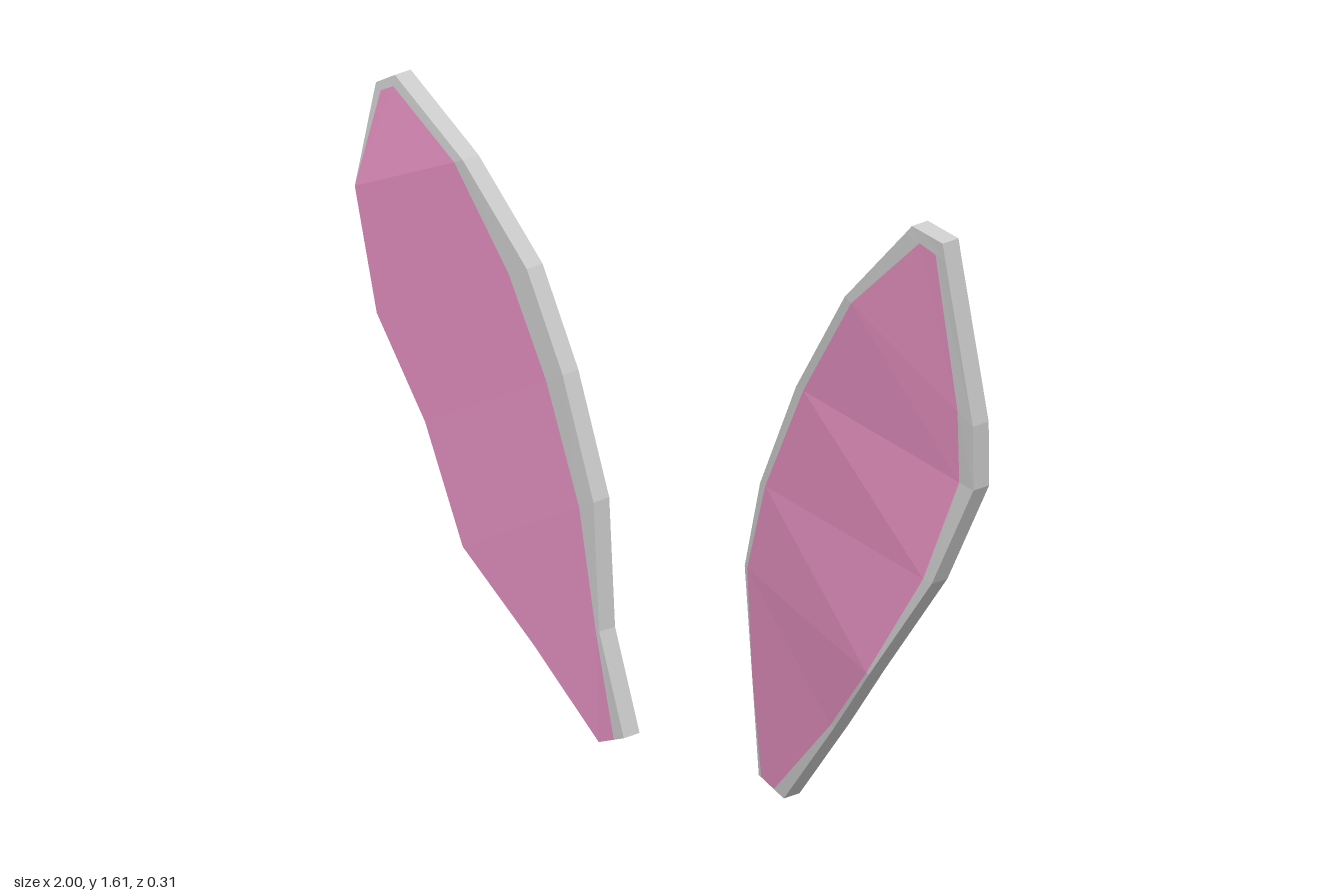
import * as THREE from 'three';

const grey = new THREE.MeshStandardMaterial({ color: 0xcccccc });
grey.name = 'outer fur grey';
const pink = new THREE.MeshStandardMaterial({ color: 0xe38fbf });
pink.name = 'inner ear pink';

const THICK = 0.06; // depth of the rim wall

// Rows run tip to base: inner edge, outer edge, back ridge, start and end of the pink (0 inner, 1 outer)
const rightRows = [
  [[-0.91, 1.61, 0], [-0.97, 1.58, 0], [-0.94, 1.595, -0.06], 0.5, 0.5],
  [[-0.885, 1.594, 0.004], [-0.973, 1.554, 0.005], [-0.93, 1.57, -0.062], 0.3, 0.75],
  [[-0.66, 1.45, 0.04], [-1.0, 1.32, 0.045], [-0.85, 1.36, -0.08], 0.08, 1],
  [[-0.46, 1.21, 0.035], [-0.93, 1.01, 0.045], [-0.71, 1.11, -0.135], 0.12, 1],
  [[-0.35, 0.96, 0.03], [-0.78, 0.76, 0.04], [-0.58, 0.87, -0.155], 0.12, 1],
  [[-0.26, 0.65, 0.02], [-0.66, 0.465, 0.04], [-0.47, 0.49, -0.105], 0.11, 1],
  [[-0.25, 0.32, 0.01], [-0.45, 0.25, 0.02], [-0.35, 0.27, -0.085], 0.05, 1],
  [[-0.18, 0.06, 0], [-0.26, 0.035, 0], [-0.22, 0.047, -0.06], 0.4, 1],
];
const leftRows = [
  [[0.86, 1.6, 0.145], [0.95, 1.57, 0.135], [0.905, 1.585, 0.08], 0.5, 0.5],
  [[0.84, 1.578, 0.146], [0.955, 1.523, 0.13], [0.895, 1.56, 0.076], 0.35, 0.75],
  [[0.65, 1.38, 0.15], [1.0, 1.1, 0.08], [0.81, 1.34, 0.0], 0.05, 0.88],
  [[0.47, 1.11, 0.12], [0.985, 0.93, 0.06], [0.745, 1.03, -0.09], 0.04, 0.92],
  [[0.33, 0.83, 0.09], [0.86, 0.67, 0.07], [0.59, 0.81, -0.12], 0.03, 0.95],
  [[0.26, 0.6, 0.065], [0.66, 0.4, 0.07], [0.47, 0.545, -0.105], 0.02, 0.98],
  [[0.255, 0.3, 0.03], [0.52, 0.23, 0.035], [0.4, 0.36, -0.1], 0.0, 0.95],
  [[0.25, 0.05, 0], [0.33, 0.005, 0], [0.29, 0.03, -0.06], 0.1, 0.6],
];

const lerp = (a, b, t) => a.map((v, i) => v + (b[i] - v) * t);
const behind = (p) => [p[0], p[1], p[2] - THICK];

// Flat-shaded mesh from a list of triangles
function facets(name, tris, material) {
  const geo = new THREE.BufferGeometry();
  geo.setAttribute('position', new THREE.Float32BufferAttribute(tris.flat(2), 3));
  geo.computeVertexNormals();
  const mesh = new THREE.Mesh(geo, material);
  mesh.name = name;
  return mesh;
}

function makeEar(name, rows, flip, baseIsPink) {
  const shell = [], lining = [];
  const tri = (list, a, b, c) => list.push(flip ? [a, c, b] : [a, b, c]);
  const quad = (list, a, b, c, d) => { tri(list, a, b, c); tri(list, a, c, d); };

  // Closed cross-section: inner edge, pink start, pink end, outer edge, back outer, ridge, back inner
  const sections = rows.map(([inner, outer, ridge, t0, t1]) => [
    inner, lerp(inner, outer, t0), lerp(inner, outer, t1), outer,
    behind(outer), ridge, behind(inner),
  ]);

  for (let r = 0; r < sections.length - 1; r++) {
    const a = sections[r], b = sections[r + 1];
    for (let i = 0; i < a.length; i++) {
      const j = (i + 1) % a.length;
      const isPink = i === 1 && r > 0;
      quad(isPink ? lining : shell, a[i], b[i], b[j], a[j]);
    }
  }

  // End caps at the tip and the base
  const cap = (list, s, reverse) => {
    const [p, q, u, v, w] = [s[0], s[3], s[4], s[5], s[6]];
    for (const [m, n] of [[q, u], [u, v], [v, w]]) {
      if (reverse) tri(list, p, n, m); else tri(list, p, m, n);
    }
  };
  cap(shell, sections[0], false);
  cap(baseIsPink ? lining : shell, sections[sections.length - 1], true);

  const ear = new THREE.Group();
  ear.name = name;
  ear.add(facets(name + 'Shell', shell, grey), facets(name + 'Lining', lining, pink));
  return ear;
}

export function createModel() {
  const model = new THREE.Group();
  model.name = 'pairOfEars';
  model.add(makeEar('rightEar', rightRows, true, true));
  model.add(makeEar('leftEar', leftRows, false, false));
  return model;
}
